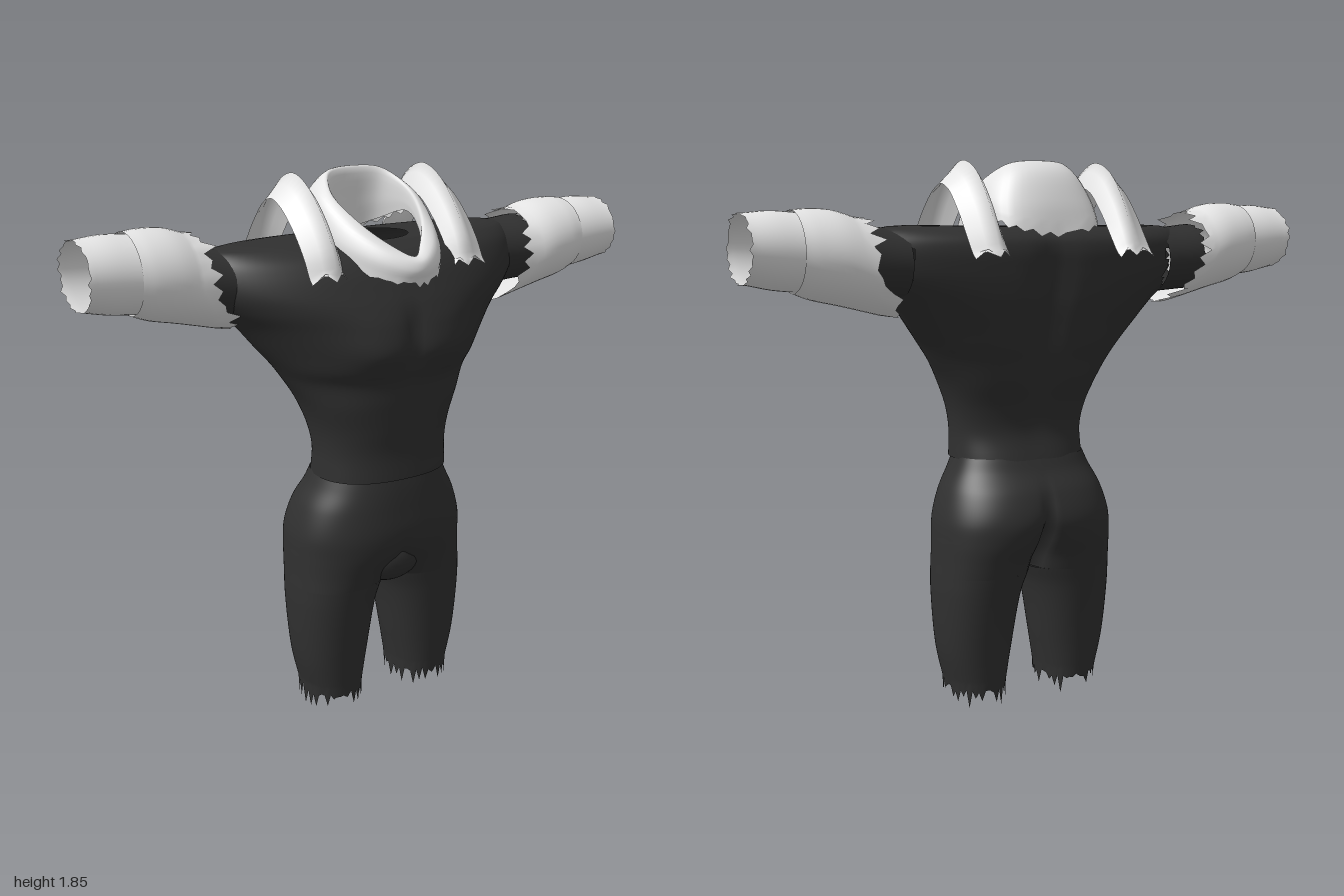
import * as THREE from 'three';

const V = (x, y, z) => new THREE.Vector3(x, y, z);
let seed = 7;
const rnd = () => ((seed = (seed * 16807) % 2147483647) / 2147483647);
const bump = (v, c, w) => Math.exp(-(((v - c) / w) ** 2));

// Smooth skin through rings of equal point count, resampled along its length.
// ragA / ragB are vectors that fray the first / last edge; skip(point) leaves holes.
function loft(rings, steps, { ragA, ragB, skip } = {}) {
  const n = rings[0].length, cols = [];
  for (let i = 0; i < n; i++) {
    const curve = new THREE.CatmullRomCurve3(rings.map(r => r[i]), false, 'centripetal');
    const col = curve.getPoints(steps);
    if (ragA) col[0].addScaledVector(ragA, (i % 2 ? 0.25 : 1) * rnd());
    if (ragB) col[steps].addScaledVector(ragB, (i % 2 ? 0.25 : 1) * rnd());
    cols.push(col);
  }
  const pos = [], idx = [];
  for (let j = 0; j <= steps; j++) for (let i = 0; i < n; i++) pos.push(...cols[i][j].toArray());
  for (let j = 0; j < steps; j++) for (let i = 0; i < n; i++) {
    if (skip && skip(cols[i][j]) && skip(cols[(i + 1) % n][j + 1])) continue;
    const a = j * n + i, b = j * n + (i + 1) % n;
    idx.push(a, a + n, b, b, a + n, b + n);
  }
  const g = new THREE.BufferGeometry();
  g.setAttribute('position', new THREE.Float32BufferAttribute(pos, 3));
  g.setIndex(idx);
  g.computeVertexNormals();
  return g;
}

// Horizontal body section: centre x, half width, front z, back z, z of widest point.
// split blends a single oval (0) into two side-by-side leg ovals (1), later at the front.
function section(y, cx, w, front, back, cz, e = 0.9, n = 72, split = 0) {
  return Array.from({ length: n }, (_, i) => {
    const t = (i / n) * Math.PI * 2, c = Math.cos(t), s = Math.sin(t);
    const x = Math.sign(c) * Math.abs(c) ** e * w;
    const u = Math.min(1, Math.abs(2 * Math.abs(x) / w - 1));
    const pair = (1 - u ** (2 / e)) ** (e / 2);
    const d = THREE.MathUtils.lerp(Math.abs(s) ** e, pair, s > 0 ? split ** 3 : split);
    return V(cx + x, y, s > 0 ? cz + (front - cz) * d : cz - (cz - back) * d);
  });
}

// Section across an arm, at a given x
function armRing(x, top, bottom, front, back, sweep = 0, n = 40) {
  return Array.from({ length: n }, (_, i) => {
    const t = (i / n) * Math.PI * 2, s = Math.sin(t), c = Math.cos(t);
    return V(x - sweep * Math.max(0, -s), (top + bottom) / 2 + s * (top - bottom) / 2,
      (front + back) / 2 + c * (front - back) / 2);
  });
}

export function createModel() {
  const group = new THREE.Group();
  const dark = new THREE.MeshStandardMaterial({ color: 0x303030, side: THREE.DoubleSide });
  dark.name = 'charcoal fabric';
  const light = new THREE.MeshStandardMaterial({ color: 0xe4e4e4, side: THREE.DoubleSide });
  light.name = 'pale grey fabric';
  const add = (name, geo, mat) => {
    const m = new THREE.Mesh(geo, mat);
    m.name = name;
    group.add(m);
    return m;
  };

  // Shirt body: y, half width, front, back, centre z
  const shirt = [
    [0.858, 0.237, 0.238, -0.113, 0.06], [0.95, 0.236, 0.235, -0.092, 0.06],
    [1.03, 0.25, 0.245, -0.105, 0.05], [1.12, 0.285, 0.255, -0.14, 0.04],
    [1.2, 0.335, 0.263, -0.17, 0.02], [1.25, 0.37, 0.28, -0.187, 0.01],
    [1.31, 0.42, 0.294, -0.205, -0.01], [1.39, 0.485, 0.289, -0.225, -0.03],
    [1.45, 0.55, 0.274, -0.232, -0.04], [1.5, 0.59, 0.25, -0.235, -0.045],
    [1.56, 0.6, 0.215, -0.235, -0.05], [1.6, 0.59, 0.18, -0.222, -0.05],
    [1.63, 0.56, 0.13, -0.18, -0.05], [1.64, 0.14, 0.11, -0.1, 0],
  ].map(([y, w, f, b, cz]) => section(y, 0, w, f, b, cz, y < 1.2 ? 0.85 : y < 1.3 ? 0.97 : 1.04, 96));
  // Chest muscles, breastbone and spine grooves
  shirt.forEach(r => r.forEach(p => {
    if (p.z > 0.1) {
      p.z += 0.025 * bump(Math.abs(p.x), 0.13, 0.11) * bump(p.y, 1.32, 0.09);
      p.z -= 0.015 * bump(p.x, 0, 0.03) * bump(p.y, 1.36, 0.1);
    }
    if (p.z < -0.07 && p.y < 1.64) p.z += 0.035 * bump(p.x, 0, 0.06) * bump(p.y, 1.35, 0.28);
  }));
  // Armholes are left open inside the upper arms
  const inArm = p => Math.abs(p.x) > 0.47 && p.y < 1.635
    && ((p.y - 1.527) / 0.108) ** 2 + ((p.z + 0.047) / 0.122) ** 2 < 1;
  add('shirtBody', loft(shirt, 80, { skip: inArm }), dark);

  // Trouser hips, dividing into the two thighs at the bottom
  const hips = [
    [0.47, 0.322, 0.192, -0.148, 1], [0.52, 0.32, 0.21, -0.165, 0.8],
    [0.59, 0.318, 0.235, -0.195, 0.42], [0.66, 0.313, 0.246, -0.207, 0.18],
    [0.75, 0.287, 0.243, -0.178, 0.06], [0.82, 0.252, 0.238, -0.13, 0], [0.866, 0.232, 0.232, -0.108, 0],
  ].map(([y, w, f, b, split]) => section(y, 0, w, f, b, 0.03, 0.85, 120, split));
  add('trouserHips', loft(hips, 36), dark);
  const front = new THREE.SphereGeometry(1, 32, 20).scale(0.13, 0.1, 0.105);
  add('trouserFront', front.translate(0, 0.555, 0.118), dark);

  for (const s of [1, -1]) {
    const side = s > 0 ? 'left' : 'right';

    // Trouser leg with frayed hem
    const leg = [
      [0.07, 0.18, 0.1, 0.15, -0.09], [0.2, 0.184, 0.125, 0.163, -0.105],
      [0.4, 0.174, 0.149, 0.184, -0.135], [0.47, 0.161, 0.161, 0.192, -0.148],
    ].map(([y, cx, w, f, b]) => section(y, s * cx, w, f, b, 0.03, 0.85, 56));
    add(side + 'TrouserLeg', loft(leg, 24, { ragA: V(0, -0.07, 0) }), dark);

    // Dark upper arm
    const arm = [
      [0.48, 1.635, 1.41, 0.085, -0.175], [0.55, 1.637, 1.415, 0.08, -0.172],
      [0.63, 1.645, 1.42, 0.08, -0.17],
    ].map(a => armRing(...a));
    const armMesh = add(side + 'UpperArm', loft(arm, 10, { ragB: V(0.03, 0, 0) }), dark);

    // Two overlapping pale sleeve pieces, frayed at both ends
    const upper = [
      armRing(0.62, 1.665, 1.35, 0.115, -0.205, 0.11),
      armRing(0.7, 1.69, 1.392, 0.122, -0.2, 0.02), armRing(0.78, 1.695, 1.415, 0.118, -0.187),
      armRing(0.83, 1.69, 1.435, 0.108, -0.175),
    ];
    const lower = [
      armRing(0.82, 1.683, 1.438, 0.105, -0.171), armRing(0.9, 1.688, 1.447, 0.103, -0.168),
      armRing(0.985, 1.68, 1.465, 0.1, -0.162),
    ];
    const sleeves = [
      add(side + 'UpperSleeve', loft(upper, 14, { ragA: V(-0.06, 0, 0) }), light),
      add(side + 'LowerSleeve', loft(lower, 12, { ragB: V(0.015, 0, 0) }), light),
    ];
    armMesh.scale.x = s;
    for (const m of sleeves) {
      m.scale.x = s;
      if (s < 0) m.position.set(0, 0.025, -0.022);
    }

    // Arched shoulder strap with a raised ridge
    const arch = new THREE.CatmullRomCurve3([
      [0.22, 1.545], [0.195, 1.64], [0.13, 1.74], [0.04, 1.82], [-0.05, 1.85],
      [-0.14, 1.82], [-0.22, 1.735], [-0.275, 1.64], [-0.315, 1.545],
    ].map(([z, y]) => V(0, y, z)));
    const profile = [[0.2, 0.085], [0.225, 0.03], [0.25, 0], [0.285, 0.035], [0.33, 0.075]];
    const N = 36, pos = [], idx = [];
    for (let i = 0; i <= N; i++) {
      const p = arch.getPoint(i / N), t = arch.getTangent(i / N);
      const frayed = i === 0 || i === N;
      const drop = Math.sin((i / N) * Math.PI) ** 0.6;
      profile.forEach(([x, d], k) => {
        const q = frayed ? (k % 2 ? 0.03 : 0) * (i ? -1 : 1) : 0;
        const o = d * (0.2 + 0.8 * drop);
        pos.push(s * x, p.y + t.z * o + t.y * q, p.z - t.y * o + t.z * q);
      });
    }
    const K = profile.length;
    for (let i = 0; i < N; i++) for (let k = 0; k < K - 1; k++) {
      const a = i * K + k;
      idx.push(a, a + K, a + 1, a + 1, a + K, a + K + 1);
    }
    const strap = new THREE.BufferGeometry();
    strap.setAttribute('position', new THREE.Float32BufferAttribute(pos, 3));
    strap.setIndex(idx);
    strap.computeVertexNormals();
    add(side + 'ShoulderStrap', strap, light);
  }

  // Collar arching over the shoulders: half outlines from back to front, mirrored into rings
  const collar = [
    [[0, 1.62, -0.235], [0.165, 1.65, -0.205], [0.195, 1.7, -0.04], [0.182, 1.6, 0.13], [0.1, 1.545, 0.26], [0, 1.535, 0.305]],
    [[0, 1.72, -0.212], [0.155, 1.72, -0.175], [0.195, 1.73, -0.03], [0.18, 1.65, 0.13], [0.1, 1.595, 0.265], [0, 1.57, 0.318]],
    [[0, 1.82, -0.16], [0.12, 1.81, -0.13], [0.175, 1.775, -0.01], [0.155, 1.7, 0.13], [0.085, 1.635, 0.25], [0, 1.6, 0.308]],
    [[0, 1.85, -0.1], [0.1, 1.84, -0.08], [0.145, 1.785, 0.01], [0.12, 1.71, 0.13], [0.06, 1.645, 0.22], [0, 1.61, 0.275]],
    [[0, 1.74, -0.1], [0.09, 1.745, -0.08], [0.14, 1.74, 0], [0.12, 1.68, 0.12], [0.06, 1.625, 0.21], [0, 1.595, 0.262]],
    [[0, 1.65, -0.11], [0.09, 1.67, -0.09], [0.145, 1.705, 0], [0.125, 1.66, 0.11], [0.065, 1.61, 0.2], [0, 1.58, 0.255]],
  ].map(half => {
    const pts = half.map(p => V(...p));
    half.slice(1, -1).reverse().forEach(([x, y, z]) => pts.push(V(-x, y, z)));
    return new THREE.CatmullRomCurve3(pts, true).getPoints(60).slice(0, 60);
  });
  add('collar', loft(collar, 24, { ragA: V(0, -0.02, 0) }), light);

  return group;
}
